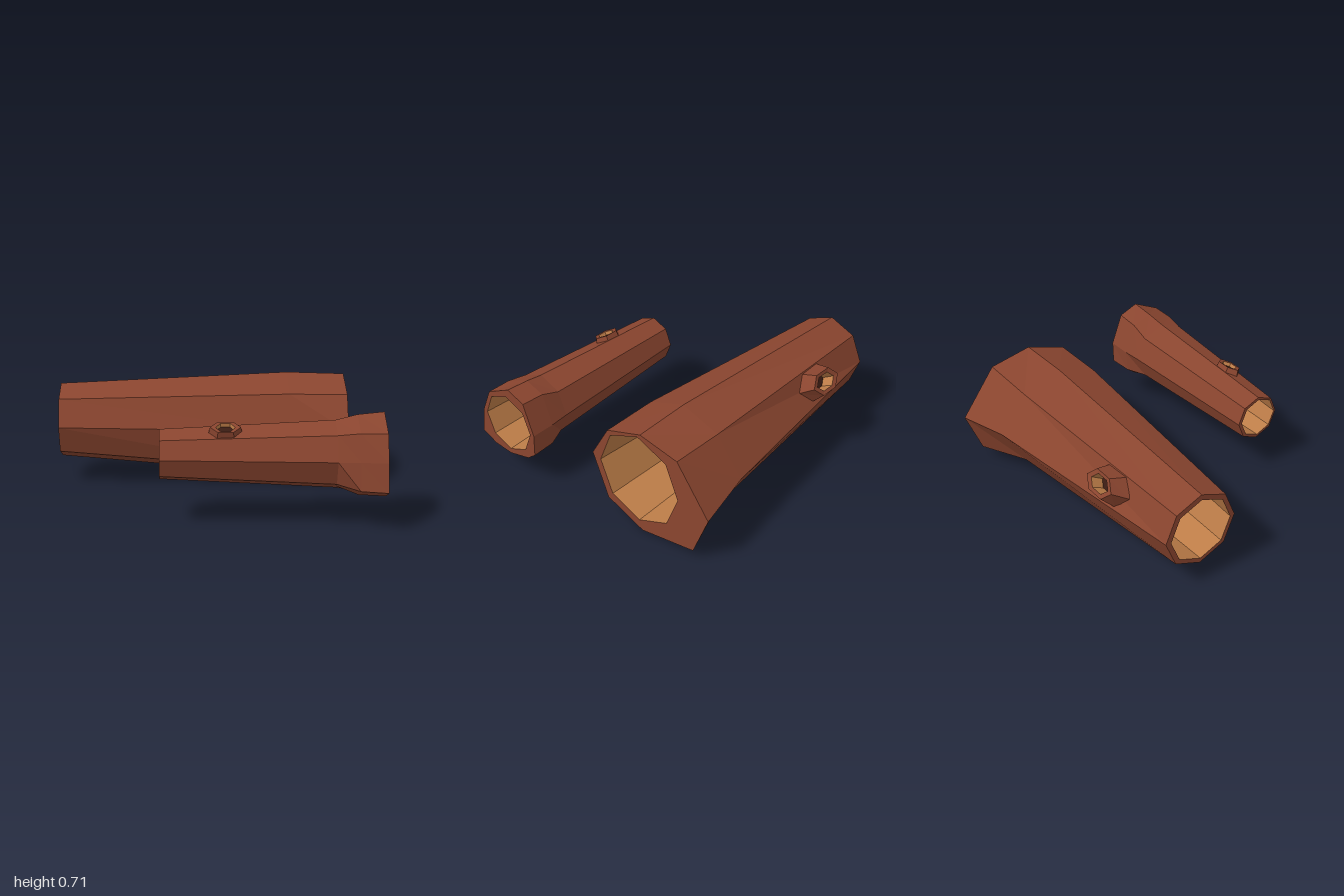
import * as THREE from 'three';

const mat = (color) => new THREE.MeshStandardMaterial({ color, flatShading: true, roughness: 1 });
const bark = mat(0x8a452f), wood = mat(0xbd7d48), dark = mat(0x3a1c13);

// Skin a series of rings (arrays of Vector3, counter-clockwise about the path)
function loft(rings, capEnd = false) {
  const pos = [];
  const tri = (...pts) => pts.forEach((p) => pos.push(p.x, p.y, p.z));
  for (let k = 0; k < rings.length - 1; k++) {
    const a = rings[k], b = rings[k + 1], n = a.length;
    for (let i = 0; i < n; i++) {
      const j = (i + 1) % n;
      tri(a[i], a[j], b[j]);
      tri(a[i], b[j], b[i]);
    }
  }
  if (capEnd) {
    const e = rings[rings.length - 1];
    for (let i = 1; i < e.length - 1; i++) tri(e[0], e[i], e[i + 1]);
  }
  const g = new THREE.BufferGeometry();
  g.setAttribute('position', new THREE.Float32BufferAttribute(pos, 3));
  g.computeVertexNormals();
  return g;
}

function add(group, name, geometry, material) {
  const m = new THREE.Mesh(geometry, material);
  m.name = name;
  group.add(m);
}

// Regular octagon across the log; in-between angles land on its edges
function octagon(x, cy, cz, r, angles) {
  return angles.map((deg) => {
    const t = THREE.MathUtils.degToRad(deg);
    const rr = deg % 45 ? r * Math.cos(Math.PI / 8) : r;
    return new THREE.Vector3(x, cy + rr * Math.cos(t), cz + rr * Math.sin(t));
  });
}

// Irregular section given as [y, z] corners
const section = (x, pts) => pts.map(([y, z]) => new THREE.Vector3(x, y, z));

// Hollow log: bark with rims at both ends, and a pale inner wall
function makeLog(name, outer, innerStart, innerEnd) {
  const g = new THREE.Group();
  g.name = name;
  add(g, 'bark', loft([innerStart, ...outer, innerEnd]), bark);
  add(g, 'innerWall', loft([innerEnd, innerStart]), wood);
  return g;
}

// Hollow stub of a broken branch; sizes are [half length, half height, lift]
function addKnot(log, centre, normal, base, rim, hole, depth) {
  const N = new THREE.Vector3(...normal).normalize();
  const X = new THREE.Vector3(1, 0, 0);
  const V = new THREE.Vector3().crossVectors(N, X);
  const hex = ([a, b, h]) => Array.from({ length: 6 }, (_, i) => {
    const t = (i * Math.PI) / 3;
    return new THREE.Vector3(...centre)
      .addScaledVector(X, a * Math.cos(t))
      .addScaledVector(V, (b * Math.sin(t)) / Math.sin(Math.PI / 3))
      .addScaledVector(N, h);
  });
  const floor = hex([hole[0] * 0.9, hole[1] * 0.9, depth]);
  const g = new THREE.Group();
  g.name = 'branchStub';
  add(g, 'stubBark', loft([hex(base), hex(rim), hex(hole)]), bark);
  add(g, 'stubHole', loft([hex(hole), floor]), wood);
  add(g, 'stubHoleFloor', loft([floor], true), dark);
  log.add(g);
}

export function createModel() {
  const model = new THREE.Group();
  model.name = 'hollowLogs';

  // Large log, flaring towards the back at its wide end
  const a8 = [0, 45, 90, 135, 180, 225, 270, 315];
  const large = makeLog('largeLog', [
    octagon(-1, 0.397, -0.365, 0.246, a8),
    section(0.49, [[0.715, -0.36], [0.62, -0.1], [0.395, -0.02], [0.12, -0.1],
      [0.015, -0.36], [0.13, -0.64], [0.39, -0.8], [0.625, -0.62]]),
    section(0.865, [[0.703, -0.36], [0.615, -0.1], [0.397, 0.03], [0.115, -0.085],
      [0.005, -0.36], [0.068, -0.755], [0.343, -0.867], [0.65, -0.637]]),
  ], octagon(-1, 0.393, -0.362, 0.212, a8), octagon(0.865, 0.375, -0.337, 0.303, a8)
    .map((p) => p.setZ(p.z)));
  addKnot(large, [-0.47, 0.5, -0.62], [0, 0.48, -0.88],
    [0.165, 0.1, -0.02], [0.125, 0.068, 0.095], [0.085, 0.046, 0.09], 0.01);

  // Small log with a flared root end
  const a10 = [0, 45, 90, 135, 157.5, 180, 202.5, 225, 270, 315];
  const small = makeLog('smallLog', [
    octagon(-0.325, 0.412, 0.615, 0.152, a10),
    octagon(0.71, 0.41, 0.615, 0.206, a10),
    section(0.84, [[0.645, 0.6], [0.57, 0.775], [0.41, 0.825], [0.247, 0.855], [0.197, 0.75],
      [0.187, 0.62], [0.22, 0.47], [0.265, 0.41], [0.41, 0.397], [0.6, 0.47]]),
    section(1, [[0.66, 0.595], [0.57, 0.775], [0.41, 0.845], [0.24, 0.87], [0.19, 0.755],
      [0.178, 0.62], [0.215, 0.465], [0.265, 0.4], [0.41, 0.395], [0.61, 0.47]]),
  ], octagon(-0.325, 0.412, 0.62, 0.133, a10), octagon(1, 0.405, 0.62, 0.193, a10));
  addKnot(small, [0.062, 0.565, 0.677], [0, 0.93, 0.37],
    [0.1, 0.06, -0.02], [0.09, 0.054, 0.028], [0.058, 0.04, 0.026], 0.004);

  model.add(large, small);
  return model;
}
